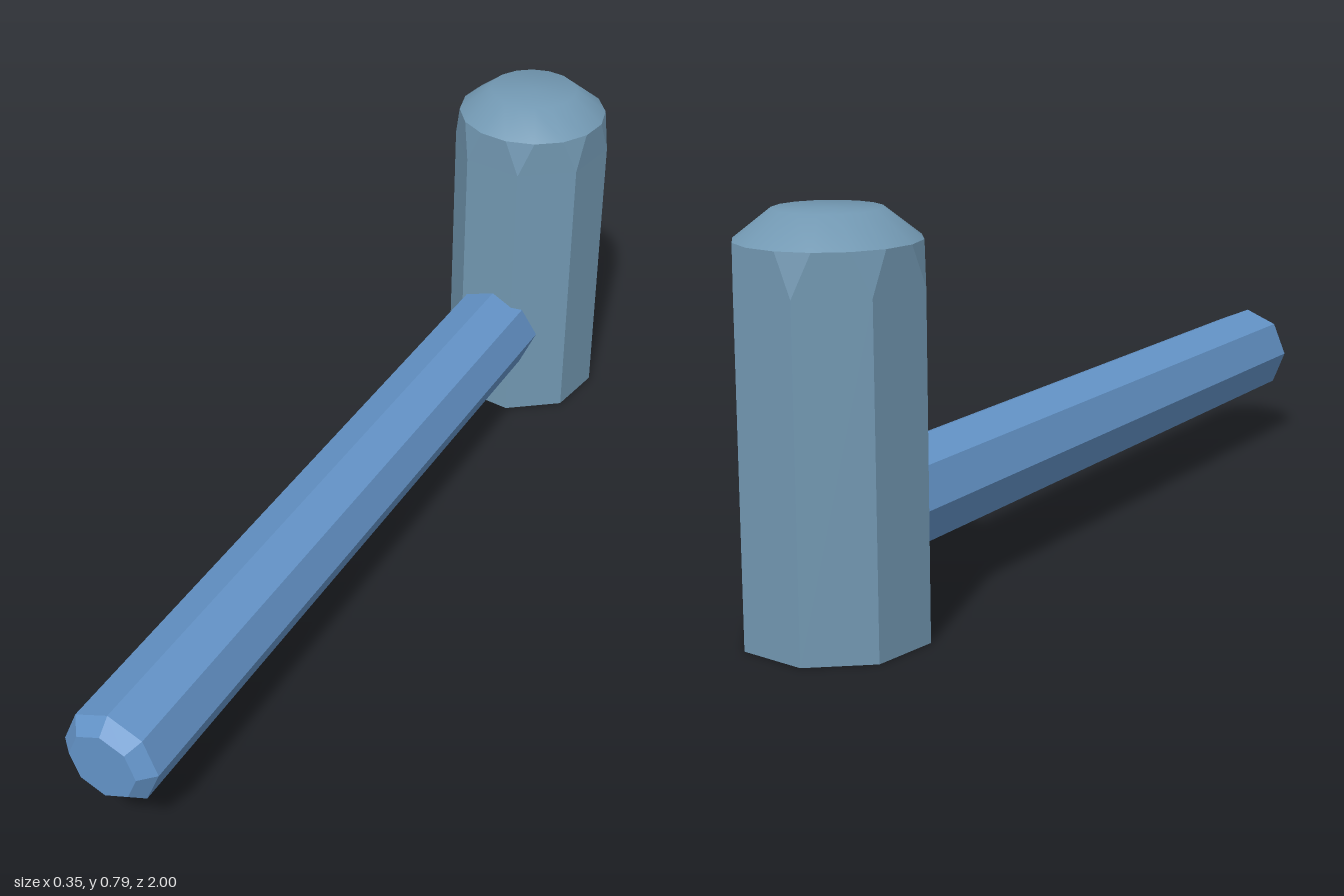
import * as THREE from 'three';

const v = (x, y) => new THREE.Vector2(x, y);
const ring = (r, y, deg) => {
  const a = THREE.MathUtils.degToRad(deg);
  return new THREE.Vector3(r * Math.sin(a), y, r * Math.cos(a));
};

export function createModel() {
  const steel = new THREE.MeshStandardMaterial({ color: 0x7298b2, flatShading: true });
  steel.name = 'steel grey';
  const steelSmooth = new THREE.MeshStandardMaterial({ color: 0x7298b2 });
  steelSmooth.name = 'steel grey smooth';
  const blue = new THREE.MeshStandardMaterial({ color: 0x6393c7, flatShading: true });
  blue.name = 'handle blue';

  const group = new THREE.Group();
  group.name = 'hammer';
  const turn = 14.7;       // twist of the octagonal head
  const headZ = -0.826;

  // Octagonal head whose corners are chamfered into a 16-sided rim
  const pts = [];
  const tri = (...p) => p.forEach((q) => pts.push(q.x, q.y, q.z));
  for (let i = 0; i < 8; i++) {
    const a = turn + i * 45, b = a + 45;
    const b0 = ring(0.18, 0, a), b1 = ring(0.18, 0, b);
    const s0 = ring(0.18, 0.65, a), s1 = ring(0.18, 0.65, b);
    const before = ring(0.17, 0.73, a - 11.25);
    const r0 = ring(0.17, 0.73, a + 11.25), r1 = ring(0.17, 0.73, b - 11.25);
    tri(b0, b1, s1, b0, s1, s0);   // side
    tri(s0, s1, r1, s0, r1, r0);   // side above the shoulder
    tri(s0, r0, before);           // corner chamfer
    tri(new THREE.Vector3(), b1, b0); // base
  }
  const bodyGeo = new THREE.BufferGeometry();
  bodyGeo.setAttribute('position', new THREE.Float32BufferAttribute(pts, 3));
  bodyGeo.computeVertexNormals();
  const body = new THREE.Mesh(bodyGeo, steel);
  body.name = 'headBody';

  // Smooth shallow dome closing the head
  const dome = new THREE.Mesh(
    new THREE.LatheGeometry([v(0.17, 0.73), v(0.1, 0.785), v(0, 0.785)], 16,
      THREE.MathUtils.degToRad(turn + 11.25)),
    steelSmooth);
  dome.name = 'headDome';

  const head = new THREE.Group();
  head.name = 'head';
  head.position.z = headZ;
  head.add(body, dome);

  // Octagonal handle with a bevelled free end, running into the head
  const handleGeo = new THREE.LatheGeometry(
    [v(0, -0.83), v(0.104, -0.83), v(0.104, 0.97), v(0.074, 1), v(0, 1)], 8);
  handleGeo.rotateX(Math.PI / 2);
  const handle = new THREE.Mesh(handleGeo, blue);
  handle.name = 'handle';
  handle.position.set(-0.006, 0.212, 0);

  group.add(head, handle);
  return group;
}
